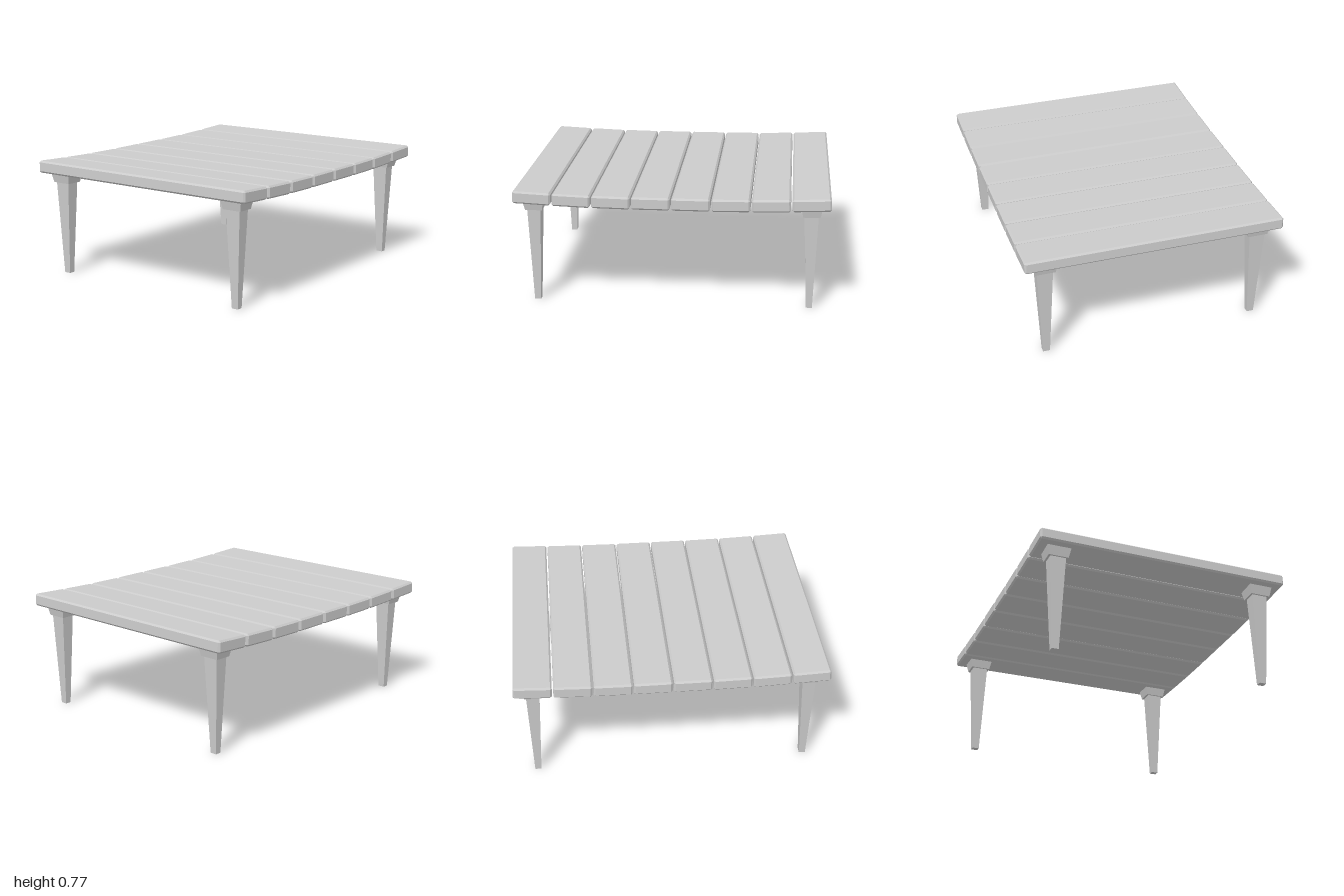
import * as THREE from 'three';
import { ConvexGeometry } from 'three/addons/geometries/ConvexGeometry.js';

const material = new THREE.MeshStandardMaterial({ color: 0xcccccc, flatShading: true });

// Box with every edge and corner chamfered by c
function chamferedBox(w, h, d, c) {
  const points = [];
  for (const sx of [-1, 1]) for (const sy of [-1, 1]) for (const sz of [-1, 1]) {
    const x = w / 2, y = h / 2, z = d / 2;
    points.push(
      new THREE.Vector3(sx * x, sy * (y - c), sz * (z - c)),
      new THREE.Vector3(sx * (x - c), sy * y, sz * (z - c)),
      new THREE.Vector3(sx * (x - c), sy * (y - c), sz * z));
  }
  return new ConvexGeometry(points);
}

// Rectangular block between y0 and y1, narrowing from the top size to the bottom size
function taperedBlock(y0, y1, bottom, top) {
  const geometry = new THREE.BoxGeometry(1, y1 - y0, 1);
  geometry.translate(0, (y0 + y1) / 2, 0);
  const p = geometry.attributes.position;
  for (let i = 0; i < p.count; i++) {
    const [w, d] = p.getY(i) > (y0 + y1) / 2 ? top : bottom;
    p.setX(i, p.getX(i) * w);
    p.setZ(i, p.getZ(i) * d);
  }
  geometry.computeVertexNormals();
  return geometry;
}

function addMesh(parent, name, geometry) {
  const mesh = new THREE.Mesh(geometry, material);
  mesh.name = name;
  parent.add(mesh);
  return mesh;
}

export function createModel() {
  const model = new THREE.Group();
  model.name = 'slattedTable';

  // Planks, rising gently in a shallow curve from the middle to both ends
  const plankGeometry = chamferedBox(1.684, 0.08, 0.242, 0.011);
  const heights = [0.706, 0.707, 0.712, 0.722];
  const tilts = [0, 0.015, 0.033, 0.045];
  const planks = new THREE.Group();
  planks.name = 'tableTop';
  for (const side of [-1, 1]) {
    heights.forEach((y, i) => {
      const plank = addMesh(planks, 'plank', plankGeometry);
      plank.position.set(0, y, side * (i + 0.5) * 0.251);
      plank.rotation.x = -side * tilts[i];
    });
  }
  model.add(planks);

  // Four tapered legs, each under a flared cap
  const legGeometry = taperedBlock(0, 0.64, [0.045, 0.04], [0.105, 0.087]);
  const capGeometry = taperedBlock(0.622, 0.7, [0.13, 0.108], [0.163, 0.138]);
  for (const sx of [-1, 1]) for (const sz of [-1, 1]) {
    const leg = new THREE.Group();
    leg.name = (sz > 0 ? 'front' : 'back') + (sx > 0 ? 'Left' : 'Right') + 'Leg';
    addMesh(leg, 'legPost', legGeometry);
    addMesh(leg, 'legCap', capGeometry);
    leg.position.set(sx * 0.7, 0, sz * 0.88);
    model.add(leg);
  }

  return model;
}
